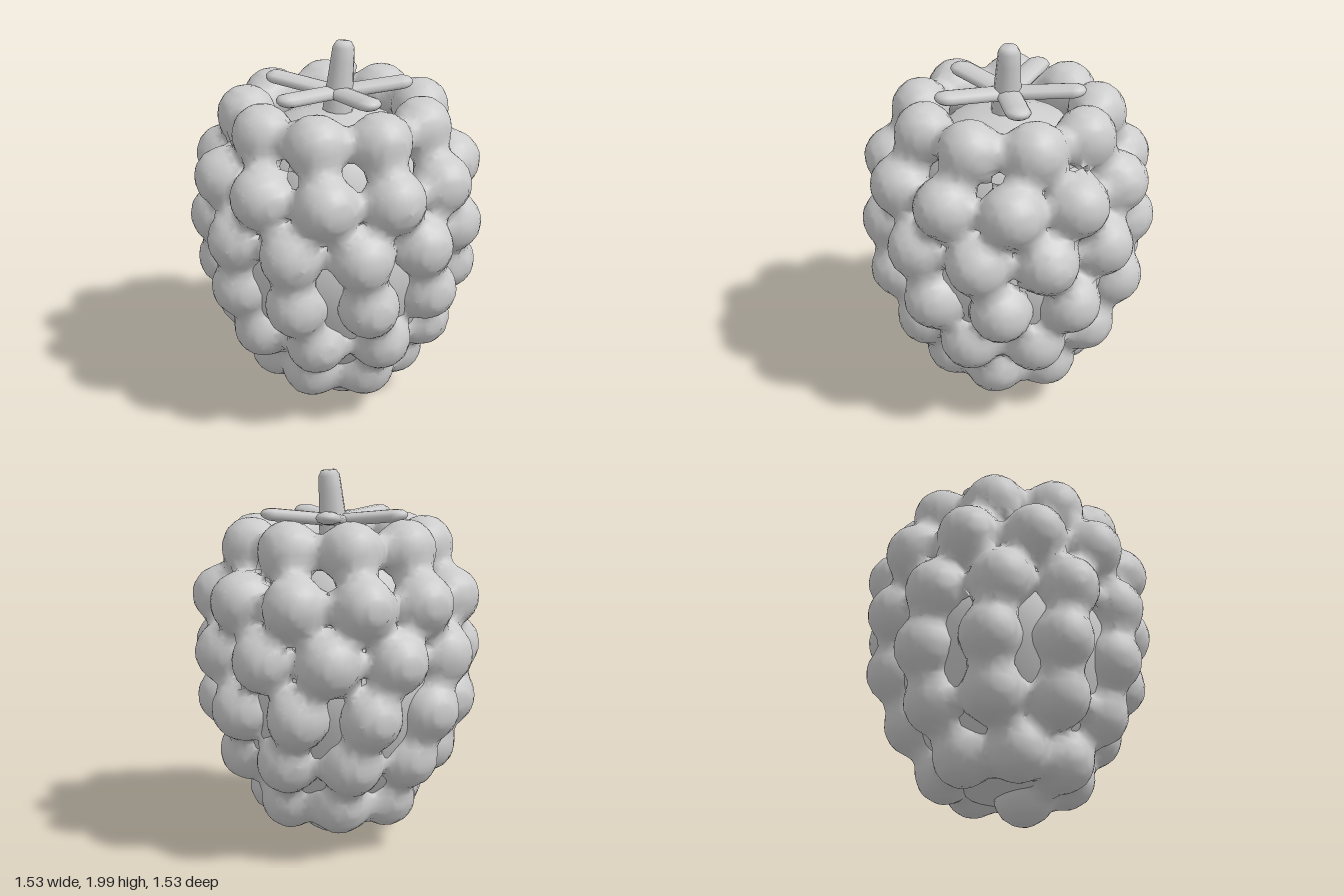
import * as THREE from 'three';

const grey = new THREE.MeshStandardMaterial({ color: 0xcccccc });
grey.name = 'plain grey';

const BEAD = 0.152; // bead radius
const BLEND = 0.037; // softness of the joints between beads
const CELL = 0.04; // grid step of the skin
// height, ring radius, number of beads, angle of the first bead from the front (degrees)
const ROWS = [
  [0.16, 0.085, 1, 0],
  [0.28, 0.325, 7, 0],
  [0.53, 0.49, 9, 0],
  [0.79, 0.595, 10, -12],
  [1.07, 0.622, 11, 16.4],
  [1.35, 0.608, 11, 0],
  [1.61, 0.463, 9, 0],
];

function add(parent, name, geometry) {
  const mesh = new THREE.Mesh(geometry, grey);
  mesh.name = name;
  parent.add(mesh);
  return mesh;
}

function lathe(profile, sides) {
  return new THREE.LatheGeometry(profile.map(([r, y]) => new THREE.Vector2(r, y)), sides);
}

function beadCentres([y, radius, count, start]) {
  return Array.from({ length: count }, (_, i) => {
    const a = THREE.MathUtils.degToRad(start + (i * 360) / count);
    return [radius * Math.sin(a), y, radius * Math.cos(a)];
  });
}

// Distance to the softly merged beads, negative inside
function distanceToBeads(beads, x, y, z) {
  let sum = 0;
  for (const b of beads) {
    sum += Math.exp((BEAD - Math.hypot(x - b[0], y - b[1], z - b[2])) / BLEND);
  }
  return -BLEND * Math.log(sum);
}

// One skin over all beads: a vertex in each grid cell the surface crosses,
// and a quad around each grid edge it crosses
function beadSkin(beads) {
  const size = [47, 50, 47];
  const origin = [-0.92, -0.1, -0.92];
  const step = [1, size[0], size[0] * size[1]];
  const field = new Float32Array(size[0] * size[1] * size[2]);
  const cellVertex = new Int32Array(field.length);
  const positions = [], indices = [];

  function eachCell(first, visit) {
    for (let k = first; k < size[2] - 1; k++)
      for (let j = first; j < size[1] - 1; j++)
        for (let i = first; i < size[0] - 1; i++) visit([i, j, k], i + j * step[1] + k * step[2]);
  }

  for (let n = 0; n < field.length; n++) {
    const i = n % size[0], j = Math.floor(n / step[1]) % size[1], k = Math.floor(n / step[2]);
    field[n] = distanceToBeads(beads, origin[0] + i * CELL, origin[1] + j * CELL, origin[2] + k * CELL);
  }

  eachCell(0, (cell, n) => {
    const mean = [0, 0, 0];
    let crossings = 0;
    for (let axis = 0; axis < 3; axis++) {
      const b = (axis + 1) % 3, c = (axis + 2) % 3;
      for (let corner = 0; corner < 4; corner++) {
        const u = corner & 1, v = corner >> 1;
        const m = n + u * step[b] + v * step[c];
        const f0 = field[m], f1 = field[m + step[axis]];
        if (f0 < 0 === f1 < 0) continue;
        mean[axis] += f0 / (f0 - f1);
        mean[b] += u;
        mean[c] += v;
        crossings++;
      }
    }
    if (!crossings) return;
    cellVertex[n] = positions.length / 3;
    for (let a = 0; a < 3; a++) positions.push(origin[a] + (cell[a] + mean[a] / crossings) * CELL);
  });

  eachCell(1, (cell, n) => {
    for (let axis = 0; axis < 3; axis++) {
      const inside = field[n] < 0;
      if (inside === field[n + step[axis]] < 0) continue;
      const b = step[(axis + 1) % 3], c = step[(axis + 2) % 3];
      const quad = [n, n - b, n - b - c, n - c].map((m) => cellVertex[m]);
      if (!inside) quad.reverse();
      indices.push(quad[0], quad[1], quad[2], quad[0], quad[2], quad[3]);
    }
  });

  const geometry = new THREE.BufferGeometry();
  geometry.setAttribute('position', new THREE.Float32BufferAttribute(positions, 3));
  geometry.setIndex(indices);
  geometry.computeVertexNormals();
  return geometry;
}

export function createModel() {
  const model = new THREE.Group();
  model.name = 'berry';

  // Rows of round beads grown together
  add(model, 'beads', beadSkin(ROWS.flatMap(beadCentres)));

  // Inner core filling the gaps, with a low domed top
  add(model, 'core', lathe([[0, 0.13], [0.22, 0.17], [0.33, 0.27], [0.44, 0.41], [0.52, 0.56], [0.59, 0.76],
    [0.61, 0.94], [0.57, 1.1], [0.49, 1.22], [0.45, 1.36], [0.4, 1.48], [0.3, 1.58], [0.16, 1.63], [0, 1.65]], 20));

  // Five sepals, rising slightly to their tips
  const sepals = new THREE.Group();
  sepals.name = 'sepals';
  model.add(sepals);
  for (let i = 0; i < 5; i++) {
    const geometry = new THREE.CapsuleGeometry(0.066, 0.27, 5, 10);
    geometry.rotateX(Math.PI / 2);
    geometry.scale(1, 0.52, 1);
    geometry.rotateX(-0.1);
    geometry.translate(0, 1.752, 0.2);
    geometry.rotateY((i / 5) * Math.PI * 2);
    add(sepals, 'sepal', geometry);
  }

  // Stem, leaning a little
  const stem = add(model, 'stem', lathe(
    [[0.08, -0.06], [0.078, 0], [0.07, 0.08], [0.062, 0.2], [0.057, 0.27], [0.04, 0.298], [0, 0.302]], 10));
  stem.position.set(0.01, 1.698, 0.01);
  stem.rotation.z = -0.1;

  return model;
}
